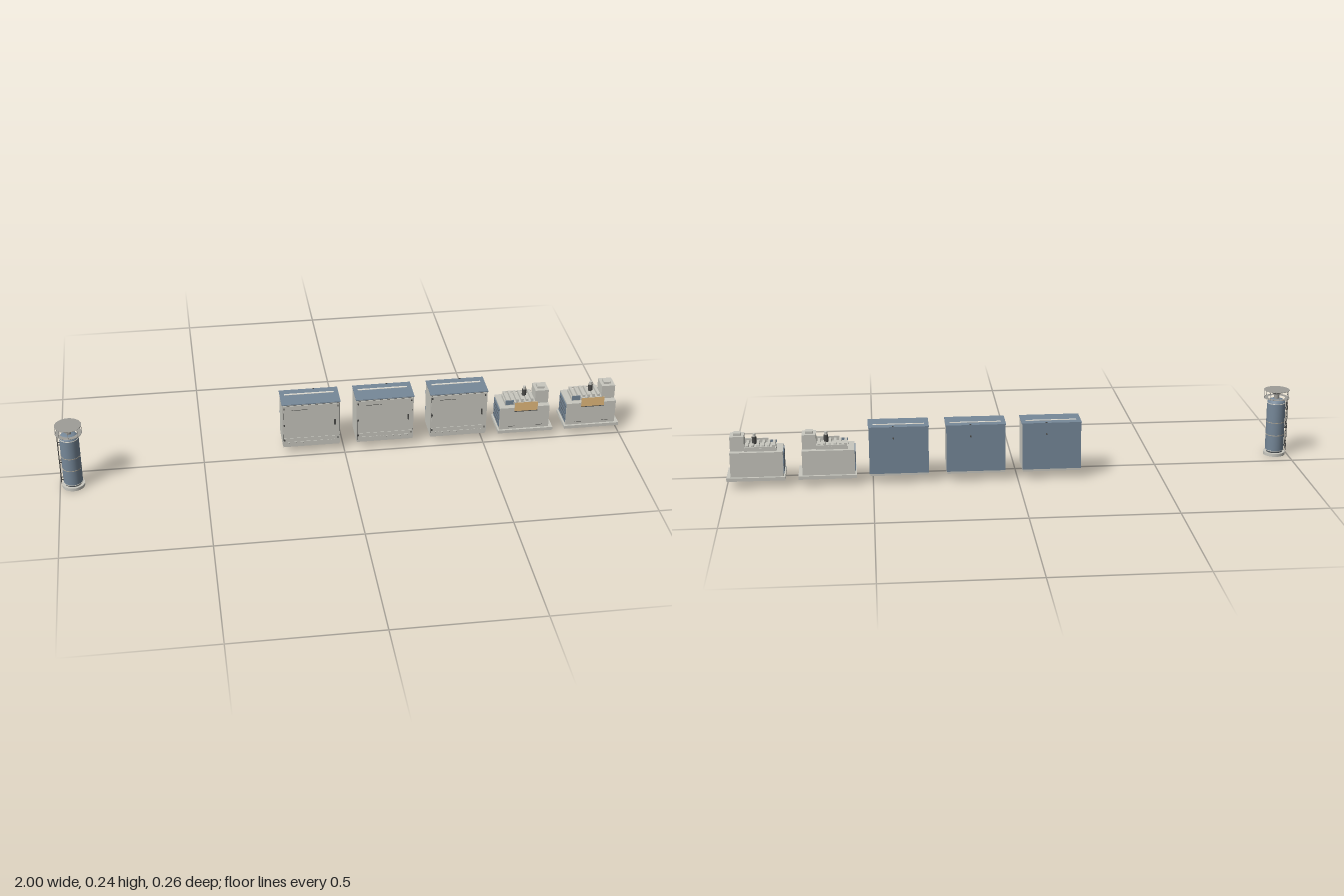
import * as THREE from 'three';

const mat = (name, color, side = THREE.FrontSide) => {
  const m = new THREE.MeshStandardMaterial({ color, side });
  m.name = name;
  return m;
};

export function createModel() {
  const grey = mat('warm grey paint', 0xc8c7bf);
  const blue = mat('slate blue paint', 0x768899);
  const dark = mat('dark metal', 0x4a4a48);
  const steel = mat('steel', 0x9e9d98, THREE.DoubleSide);
  const pale = mat('pale trim', 0xdedcd2);
  const tan = mat('tan trim', 0xb3aa98);
  const orange = mat('orange panel', 0xe4ba7c);

  const root = new THREE.Group();
  root.name = 'equipmentRow';

  const add = (parent, name, geo, m, x, y, z) => {
    const mesh = new THREE.Mesh(geo, m);
    mesh.name = name;
    mesh.position.set(x, y, z);
    parent.add(mesh);
    return mesh;
  };
  // box given by its limits
  const box = (parent, name, m, x0, x1, y0, y1, z0, z1) =>
    add(parent, name, new THREE.BoxGeometry(x1 - x0, y1 - y0, z1 - z0), m,
      (x0 + x1) / 2, (y0 + y1) / 2, (z0 + z1) / 2);
  const cyl = (parent, name, m, r, y0, y1, x = 0, z = 0, seg = 24) =>
    add(parent, name, new THREE.CylinderGeometry(r, r, y1 - y0, seg), m, x, (y0 + y1) / 2, z);
  const group = (name, x, z) => {
    const g = new THREE.Group();
    g.name = name;
    g.position.set(x, 0, z);
    root.add(g);
    return g;
  };

  // ---- Storage tank ----
  const tank = group('tank', -0.954, 0.0815);
  cyl(tank, 'plinth', grey, 0.039, 0, 0.011, 0, 0, 32);
  cyl(tank, 'foot', dark, 0.029, 0.011, 0.015);
  const profile = [[0, 0.013], [0.029, 0.013], [0.033, 0.019], [0.033, 0.193], [0.0315, 0.199],
    [0.027, 0.205], [0.018, 0.209], [0, 0.211]].map(p => new THREE.Vector2(...p));
  add(tank, 'shell', new THREE.LatheGeometry(profile, 32), blue, 0, 0, 0);
  for (const [y, m] of [[0.019, pale], [0.077, tan], [0.125, tan], [0.195, pale]]) {
    cyl(tank, 'band', m, 0.0336, y - 0.0012, y + 0.0012, 0, 0, 32);
  }
  cyl(tank, 'neck', steel, 0.009, 0.209, 0.224, 0, 0, 12);
  cyl(tank, 'valveWheel', dark, 0.013, 0.227, 0.23, 0, 0, 16);
  cyl(tank, 'valveStem', steel, 0.003, 0.222, 0.23, 0, 0, 8);

  // service platform with roof disc
  const deck = new THREE.RingGeometry(0.03, 0.045, 32).rotateX(-Math.PI / 2);
  add(tank, 'platform', deck, steel, 0, 0.213, 0);
  const rim = new THREE.TorusGeometry(0.045, 0.0008, 6, 32).rotateX(Math.PI / 2);
  for (const y of [0.213, 0.242]) add(tank, 'rim', rim, steel, 0, y, 0);
  cyl(tank, 'roof', steel, 0.045, 0.241, 0.243, 0, 0, 32);
  for (let i = 0; i < 8; i++) {
    const a = i * Math.PI / 4;
    cyl(tank, 'post', steel, 0.001, 0.213, 0.242, 0.044 * Math.cos(a), 0.044 * Math.sin(a), 6);
  }

  // ladder on the right-hand side
  for (const s of [-1, 1]) box(tank, 'ladderRail', dark, -0.041, -0.039, 0.015, 0.213, s * 0.008 - 0.001, s * 0.008 + 0.001);
  for (let i = 0; i < 15; i++) {
    const y = 0.022 + i * 0.013;
    box(tank, 'rung', dark, -0.0408, -0.0392, y, y + 0.0016, -0.008, 0.008);
  }
  for (const y of [0.03, 0.1, 0.17]) {
    for (const s of [-1, 1]) box(tank, 'ladderBracket', dark, -0.04, -0.031, y, y + 0.0025, s * 0.008 - 0.001, s * 0.008 + 0.001);
  }

  // ---- Electrical cabinets ----
  for (const x of [-0.117, 0.145, 0.41]) {
    const c = group('cabinet', x, -0.067);
    box(c, 'base', grey, -0.1, 0.1, 0.028, 0.036, -0.049, 0.049);
    box(c, 'body', grey, -0.102, 0.102, 0.034, 0.2, -0.049, 0.049);
    box(c, 'backPanel', blue, -0.102, 0.102, 0.036, 0.2, -0.051, -0.049);
    box(c, 'roof', blue, -0.104, 0.104, 0.2, 0.203, -0.051, 0.051);
    box(c, 'roofStrip', pale, -0.088, 0.088, 0.203, 0.2042, -0.022, -0.014);
    box(c, 'roofLug', dark, 0.016, 0.022, 0.203, 0.205, -0.05, -0.045);
    // door above, vented panel below
    box(c, 'doorGap', dark, -0.099, 0.099, 0.037, 0.197, 0.049, 0.0495);
    box(c, 'door', grey, -0.0985, 0.0985, 0.0655, 0.1965, 0.049, 0.0515);
    box(c, 'lowerPanel', grey, -0.0985, 0.0985, 0.0375, 0.0645, 0.049, 0.0515);
    box(c, 'label', dark, -0.07, -0.012, 0.1785, 0.18, 0.0515, 0.052);
    for (let i = 0; i < 8; i++) {
      const v = -0.077 + i * 0.022;
      box(c, 'louvre', grey, v - 0.007, v + 0.007, 0.046, 0.05, 0.0515, 0.0535);
      box(c, 'louvreGap', dark, v - 0.007, v + 0.007, 0.0452, 0.046, 0.0515, 0.0525);
    }
    for (const y of [0.054, 0.116, 0.183]) {
      box(c, 'hinge', dark, -0.098, -0.094, y, y + 0.007, 0.051, 0.0535);
    }
    box(c, 'handlePlate', dark, 0.08, 0.086, 0.112, 0.132, 0.0515, 0.053);
    box(c, 'handle', dark, 0.081, 0.085, 0.112, 0.117, 0.053, 0.058);
    for (const y of [0.054, 0.185]) box(c, 'latch', dark, 0.092, 0.096, y, y + 0.006, 0.0515, 0.0535);
    const stub = cyl(c, 'rearStub', dark, 0.0025, -0.0055, 0.0055, 0.018, -0.056, 10);
    stub.rotation.x = Math.PI / 2;
    stub.position.y = 0.164;
  }

  // ---- Generator sets ----
  for (const x of [0.655, 0.899]) {
    const g = group('generator', x, -0.067);
    box(g, 'base', grey, -0.1, 0.1, 0.026, 0.038, -0.059, 0.058);
    box(g, 'body', grey, -0.094, 0.086, 0.038, 0.125, -0.05, 0.05);
    box(g, 'radiator', blue, -0.0965, -0.094, 0.046, 0.119, -0.043, 0.043);
    for (let i = 0; i < 4; i++) {
      const y = 0.058 + i * 0.016;
      box(g, 'radiatorSlat', dark, -0.097, -0.0965, y, y + 0.0012, -0.038, 0.038);
    }
    // engine top with cooling fins
    box(g, 'engineTop', grey, -0.072, 0.037, 0.125, 0.136, -0.036, 0.03);
    for (let i = 0; i < 6; i++) {
      const v = -0.068 + i * 0.018;
      box(g, 'fin', grey, v, v + 0.009, 0.136, 0.146, -0.036, 0.029);
    }
    box(g, 'coolerFace', blue, -0.072, -0.042, 0.128, 0.145, 0.03, 0.032);
    box(g, 'manifold', grey, -0.06, 0.036, 0.138, 0.142, -0.041, -0.036);
    cyl(g, 'filler', dark, 0.008, 0.144, 0.168, 0.003, -0.004, 14);
    cyl(g, 'fillerCap', grey, 0.0055, 0.168, 0.18, 0.003, -0.004, 14);
    // exhaust housing
    box(g, 'housing', grey, 0.037, 0.085, 0.125, 0.176, -0.029, 0.028);
    box(g, 'housingCap', grey, 0.047, 0.073, 0.176, 0.184, -0.015, 0.014);
    // control panel: grey backing with an orange front face
    box(g, 'panelBacking', grey, -0.042, 0.042, 0.111, 0.146, 0.048, 0.0505);
    add(g, 'controlPanel', new THREE.PlaneGeometry(0.084, 0.035), orange, 0, 0.1285, 0.0508);
    box(g, 'panelLedge', dark, -0.042, 0.042, 0.109, 0.111, 0.05, 0.052);
    for (const s of [-1, 1]) box(g, 'baseSlot', dark, s * 0.05 - 0.012, s * 0.05 + 0.012, 0.048, 0.0495, 0.05, 0.0506);
  }

  return root;
}
